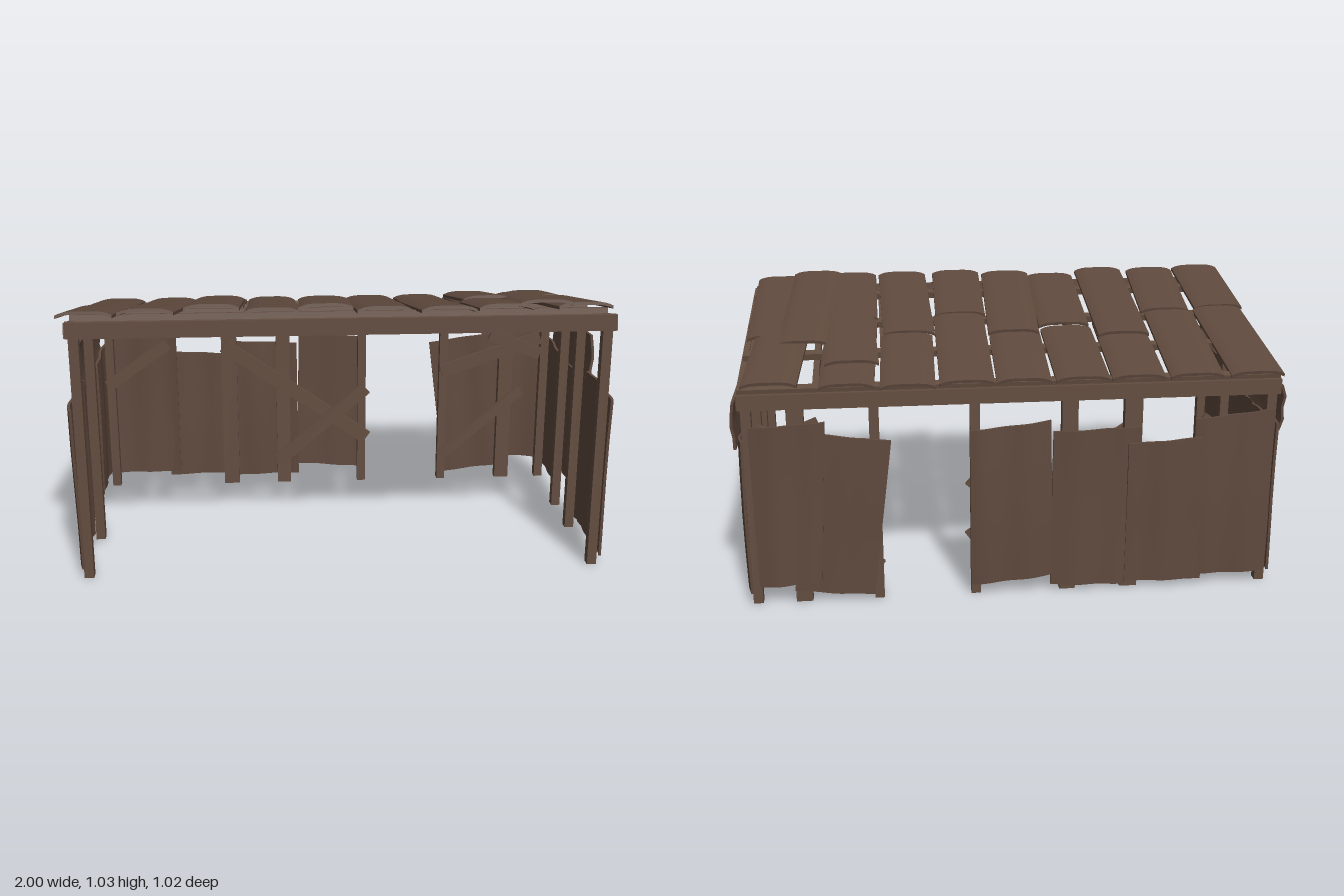
import * as THREE from 'three';

const wood = new THREE.MeshStandardMaterial({ color: 0x634d40 });
wood.name = 'weathered wood';
const panel = new THREE.MeshStandardMaterial({ color: 0x5f493d });
panel.name = 'rusty sheet';

const SLOPE = 0.182;
const TILT = -Math.atan(SLOPE);

export function createModel() {
  const model = new THREE.Group();

  const box = (name, w, h, d, x, y, z) => {
    const m = new THREE.Mesh(new THREE.BoxGeometry(w, h, d), wood);
    m.name = name;
    m.position.set(x, y, z);
    model.add(m);
    return m;
  };

  // Thin bent sheet between four corners, ordered as seen from its outer face
  const sheet = (name, corners, bend, thick = 0.01) => {
    const [tl, tr, br, bl] = corners.map((c) => new THREE.Vector3(...c));
    const normal = tr.clone().sub(bl).cross(tl.clone().sub(br)).normalize();
    const geo = new THREE.BoxGeometry(1, 1, 1, 14, 4, 1);
    const pos = geo.attributes.position;
    const top = new THREE.Vector3(), p = new THREE.Vector3();
    for (let i = 0; i < pos.count; i++) {
      const u = pos.getX(i) + 0.5, v = pos.getY(i) + 0.5;
      top.lerpVectors(tl, tr, u);
      p.lerpVectors(bl, br, u).lerp(top, v);
      p.addScaledVector(normal, pos.getZ(i) * thick + bend(u, v));
      pos.setXYZ(i, p.x, p.y, p.z);
    }
    geo.computeVertexNormals();
    const m = new THREE.Mesh(geo, panel);
    m.name = name;
    model.add(m);
  };
  const arch = (u) => 0.004 - 0.014 * Math.pow(Math.abs(2 * u - 1), 4);
  const wavy = (seed) => (u, v) =>
    0.004 * Math.sin(u * 11 + seed) + 0.003 * Math.sin(v * 4 + seed * 2) - 0.008 * Math.pow(2 * u - 1, 4);

  // Corner posts
  for (const s of [-1, 1]) {
    box('frontPost', 0.035, 0.93, 0.035, s * 0.935, 0.465, 0.45);
    box('backCornerPost', 0.035, 0.78, 0.035, s * 0.935, 0.39, -0.455);
    box('sidePost', 0.035, 0.87, 0.035, s * 0.935, 0.435, 0.11);
  }
  box('sidePost', 0.035, 0.83, 0.035, 0.935, 0.415, -0.12);

  // Back wall posts: x, width
  for (const [x, w] of [[-0.43, 0.065], [-0.2, 0.058], [0.14, 0.035], [0.495, 0.035], [0.768, 0.06]]) {
    box('backPost', w, 0.78, 0.035, x, 0.39, -0.455);
  }

  // Beams across the front and the back
  box('frontBeam', 1.92, 0.058, 0.02, 0, 0.938, 0.473);
  box('backBeam', 1.92, 0.055, 0.02, 0, 0.77, -0.48);

  // Sloping rafters
  for (const s of [-1, 1]) {
    box('sideRafter', 0.022, 0.055, 0.96, s * 0.955, 0.85, 0).rotation.x = TILT;
  }
  for (let i = 0; i < 8; i++) {
    box('rafter', 0.022, 0.045, 0.93, -0.76 + i * 0.2425, 0.85, 0).rotation.x = TILT;
  }

  // Purlins under the roof sheets
  for (const z of [0.345, 0.075, -0.19, -0.455]) {
    box('purlin', 1.92, 0.024, 0.036, 0, 0.887 + SLOPE * z, z).rotation.x = TILT;
  }

  // Roof sheets: back-left x, front-left x, back z, front z, lift
  const roof = [
    [-0.97, -0.97, -0.485, 0.085, 0], [-0.98, -0.985, 0.09, 0.51, 0.003],
    [-0.75, -0.77, -0.485, 0.07, 0], [-0.755, -0.78, 0.06, 0.48, 0.008],
    [-0.54, -0.55, -0.485, 0.0, 0], [-0.545, -0.555, -0.17, 0.46, 0.02],
    [-0.34, -0.34, -0.485, -0.06, 0], [-0.337, -0.347, -0.04, 0.45, 0.004],
    [-0.13, -0.14, -0.485, -0.1, 0], [-0.135, -0.16, -0.12, 0.455, 0.016],
    [0.07, 0.06, -0.485, 0.085, 0], [0.053, 0.043, 0.075, 0.5, 0.006],
    [0.278, 0.267, -0.5, -0.09, 0], [0.257, 0.267, -0.08, 0.5, 0.004],
    [0.49, 0.47, -0.485, 0.08, 0], [0.47, 0.47, 0.06, 0.49, 0.008],
    [0.47, 0.485, -0.345, 0.07, 0.018],
    [0.755, 0.727, -0.485, -0.08, 0.012],
    [0.65, 0.61, -0.18, 0.485, 0.02], [0.76, 0.755, -0.1, 0.465, 0.008],
  ];
  for (const [xb, xf, zb, zf, lift] of roof) {
    const y = (z) => 0.908 + lift + SLOPE * z;
    sheet('roofSheet', [
      [xb, y(zb), zb], [xb + 0.193, y(zb), zb], [xf + 0.193, y(zf), zf], [xf, y(zf), zf],
    ], arch, 0.011);
  }

  // Side wall sheets, mirrored: depth offset, then four z,y corners
  const side = [
    [0.965, [0.495, 0.655], [0.18, 0.672], [0.18, 0.048], [0.47, 0.036]],
    [0.988, [0.228, 0.612], [-0.062, 0.603], [-0.05, 0.003], [0.242, 0.012]],
    [0.975, [-0.03, 0.603], [-0.21, 0.6], [-0.232, 0.132], [-0.005, 0.12]],
    [0.964, [-0.195, 0.61], [-0.505, 0.635], [-0.497, 0.052], [-0.203, 0.055]],
    [0.982, [0.128, 0.8], [-0.475, 0.77], [-0.46, 0.592], [0.132, 0.62]],
  ];
  for (const s of [-1, 1]) {
    side.forEach(([x, ...c], i) => {
      let pts = c.map(([z, y]) => [s * x, y, z]);
      if (s < 0) pts = [pts[1], pts[0], pts[3], pts[2]];
      // The upper sheet lies on its side, so its ripples run along z
      const w = wavy(i * 1.7 + s);
      sheet(i === 4 ? 'upperSideSheet' : 'sideSheet', pts, i === 4 ? (u, v) => w(v, u) : w);
    });
  }

  // Back wall sheets: depth, then x,y corners as seen from inside
  const back = [
    [-0.487, [-0.95, 0.685], [-0.655, 0.655], [-0.655, 0.045], [-0.95, 0.045]],
    [-0.497, [-0.68, 0.59], [-0.41, 0.575], [-0.41, 0.032], [-0.7, 0.027]],
    [-0.487, [-0.46, 0.635], [-0.14, 0.625], [-0.135, 0.027], [-0.42, 0.02]],
    [-0.495, [-0.13, 0.67], [0.16, 0.642], [0.16, 0.045], [-0.14, 0.07]],
    [-0.487, [0.437, 0.615], [0.73, 0.655], [0.8, 0.05], [0.512, 0.02]],
    [-0.497, [0.665, 0.695], [0.93, 0.68], [0.925, 0.075], [0.7, 0.085]],
  ];
  back.forEach(([z, a, b, c, d], i) => {
    sheet('backSheet', [b, a, d, c].map(([x, y]) => [x, y, z]), wavy(i * 2.1));
  });

  // Diagonal braces on the inside of the back wall: start, end, width, depth
  const braces = [
    [-0.45, 0.63, 0.16, 0.205, 0.058, -0.43], [-0.22, 0.115, 0.155, 0.435, 0.055, -0.416],
    [-0.945, 0.46, -0.69, 0.64, 0.048, -0.43], [0.485, 0.5, 0.91, 0.645, 0.055, -0.43],
    [0.485, 0.11, 0.835, 0.41, 0.045, -0.43], [0.69, 0.665, 0.91, 0.575, 0.05, -0.418],
  ];
  for (const [x0, y0, x1, y1, w, z] of braces) {
    box('backBrace', Math.hypot(x1 - x0, y1 - y0), w, 0.014, (x0 + x1) / 2, (y0 + y1) / 2, z)
      .rotation.z = Math.atan2(y1 - y0, x1 - x0);
  }

  return model;
}
